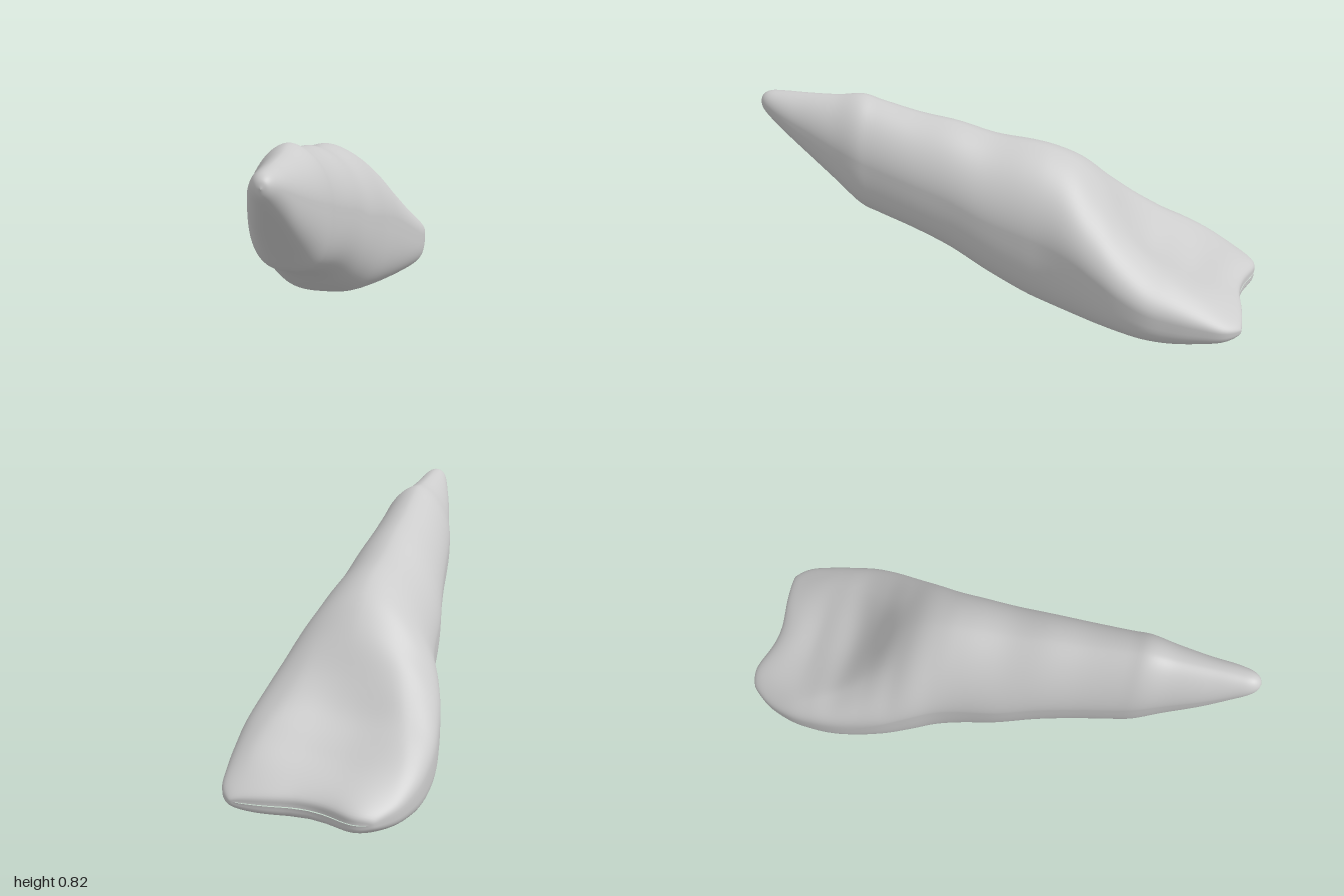
import * as THREE from 'three';

// Stations along the length: z, top y, bottom y, -x half-width, +x half-width
const stations = [
  [-0.968, 0.113, 0.109, 0.22, 0.26],
  [-0.96, 0.15, 0.075, 0.255, 0.29],
  [-0.90, 0.19, 0.045, 0.312, 0.332],
  [-0.80, 0.25, 0.02, 0.352, 0.35],
  [-0.70, 0.30, 0.006, 0.366, 0.36],
  [-0.60, 0.345, 0.008, 0.367, 0.364],
  [-0.50, 0.425, 0.01, 0.355, 0.345],
  [-0.40, 0.53, 0.01, 0.335, 0.312],
  [-0.30, 0.62, 0.018, 0.303, 0.278],
  [-0.20, 0.668, 0.035, 0.265, 0.25],
  [-0.10, 0.69, 0.065, 0.245, 0.235],
  [0.05, 0.705, 0.135, 0.23, 0.215],
  [0.20, 0.745, 0.22, 0.203, 0.192],
  [0.35, 0.77, 0.285, 0.18, 0.175],
  [0.50, 0.808, 0.337, 0.162, 0.157],
  [0.58, 0.83, 0.37, 0.15, 0.148],
  [0.68, 0.818, 0.457, 0.123, 0.12],
  [0.80, 0.815, 0.56, 0.095, 0.088],
  [0.90, 0.815, 0.645, 0.066, 0.066],
  [0.96, 0.812, 0.70, 0.046, 0.046],
  [0.99, 0.795, 0.735, 0.025, 0.025],
  [1.0, 0.768, 0.766, 0.001, 0.001],
];
const SIDES = 80, STEPS = 5;
const { smoothstep, lerp } = THREE.MathUtils;
const bell = (v, centre, width) => Math.exp(-(((v - centre) / width) ** 2));

function toothGeometry() {
  const spline = new THREE.CubicInterpolant(
    stations.map((_, i) => i), stations.flat(), 5, new Float32Array(5));
  const rings = (stations.length - 1) * STEPS + 1;
  const positions = [], index = [];

  for (let i = 0; i < rings; i++) {
    const [z, top, bottom, left, right] = spline.evaluate(i / STEPS);
    const mid = lerp(bottom, top, 0.53);
    // Squarish crown, narrow hump behind it, root with flat flanks
    const crown = 1 - smoothstep(z, -0.65, -0.35);
    const tip = smoothstep(z, 0.8, 0.98);
    const lowerPower = lerp(lerp(3.6, 2.7, smoothstep(z, -0.6, 0.1)), 2, tip);
    const hollow = 0.05 * smoothstep(z, -0.94, -0.75) * (1 - smoothstep(z, -0.6, -0.36));
    const hollowWidth = lerp(0.28, 0.18, smoothstep(z, -0.8, -0.4));
    const edge = 1 - smoothstep(z, -0.96, -0.7);

    for (let j = 0; j < SIDES; j++) {
      const a = (j / SIDES) * Math.PI * 2, c = Math.cos(a), s = Math.sin(a);
      // The -x ridge of the crown is fuller, the -x shoulder of the root slimmer
      const side = (c + 1) / 2;
      const rootPower = lerp(lerp(1.65, 1.85, side), 2, tip);
      const upperPower = lerp(rootPower, lerp(3, 2.2, side), crown);
      const power = 2 / (s > 0 ? upperPower : lowerPower);
      const x = Math.sign(c) * Math.abs(c) ** power * (c > 0 ? right : left);
      let y = mid + Math.sign(s) * Math.abs(s) ** power * (s > 0 ? top - mid : mid - bottom);
      // Scooped inner face between two side ridges
      if (s > 0) y -= hollow * Math.max(0, 1 - ((x + 0.02) / hollowWidth) ** 2) ** 1.5;
      // Uneven biting edge with a longer lobe on one side
      const wave = 0.018 * bell(x, 0.03, 0.11) - 0.035 * bell(x, -0.18, 0.09);
      positions.push(x, y, z + edge * wave);
    }
  }
  for (let i = 0; i < rings - 1; i++) {
    for (let j = 0; j < SIDES; j++) {
      const k = (j + 1) % SIDES, p = i * SIDES, q = p + SIDES;
      index.push(p + j, p + k, q + j, p + k, q + k, q + j);
    }
  }
  const geometry = new THREE.BufferGeometry();
  geometry.setAttribute('position', new THREE.Float32BufferAttribute(positions, 3));
  geometry.setIndex(index);
  geometry.computeVertexNormals();
  return geometry;
}

export function createModel() {
  const group = new THREE.Group();
  group.name = 'incisorTooth';
  const tooth = new THREE.Mesh(toothGeometry(), new THREE.MeshStandardMaterial({ color: 0xcccccc }));
  tooth.name = 'crownAndRoot';
  group.add(tooth);
  return group;
}
